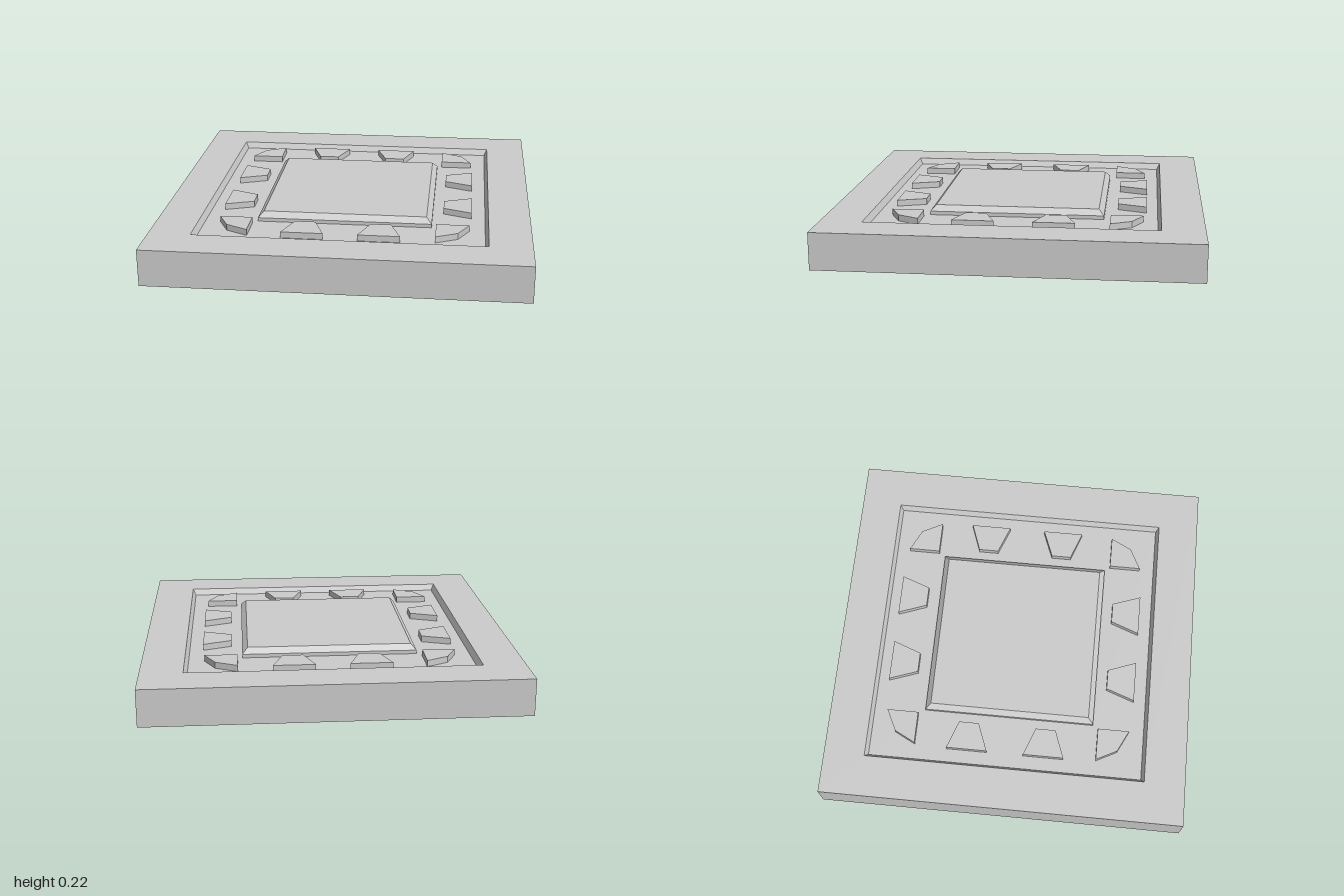
import * as THREE from 'three';

const material = new THREE.MeshStandardMaterial({
  color: 0xcccccc, flatShading: true, side: THREE.DoubleSide,
});

// Prism without a bottom, from a convex outline of [x, z] corners
function openPrism(outline, bottom, top) {
  const area = outline.reduce((sum, [x, z], i) => {
    const [nx, nz] = outline[(i + 1) % outline.length];
    return sum + x * nz - nx * z;
  }, 0);
  const pts = area > 0 ? [...outline].reverse() : outline;
  const pos = [];
  pts.forEach(([ax, az], i) => {
    const [bx, bz] = pts[(i + 1) % pts.length];
    pos.push(ax, bottom, az, bx, bottom, bz, bx, top, bz);
    pos.push(ax, bottom, az, bx, top, bz, ax, top, az);
    if (i > 0 && i < pts.length - 1) {
      pos.push(pts[0][0], top, pts[0][1], ax, top, az, bx, top, bz);
    }
  });
  const geometry = new THREE.BufferGeometry();
  geometry.setAttribute('position', new THREE.Float32BufferAttribute(pos, 3));
  geometry.computeVertexNormals();
  return geometry;
}

// Square shell, open below: [half width, height] from the outer foot to the centre
function squareShell(profile) {
  const points = profile.map(([half, y]) => new THREE.Vector2(half * Math.SQRT2, y));
  const geometry = new THREE.LatheGeometry(points, 4, Math.PI / 4).toNonIndexed();
  geometry.computeVertexNormals();
  return geometry;
}

export function createModel() {
  const model = new THREE.Group();
  model.name = 'squareTile';

  const add = (name, geometry) => {
    const mesh = new THREE.Mesh(geometry, material);
    mesh.name = name;
    model.add(mesh);
  };

  // Outer walls, border, sunken channel and bevelled centre panel
  add('tileShell', squareShell([
    [1, 0], [1, 0.2], [0.775, 0.2], [0.758, 0.165],
    [0.472, 0.165], [0.472, 0.185], [0.443, 0.215], [0, 0.215],
  ]));

  // Raised studs standing in the channel and reaching through its floor
  const bottom = 0.125, top = 0.199, shift = -0.004;
  const frontStud = [[0.09, 0.694], [0.315, 0.694], [0.259, 0.537], [0.148, 0.537]];
  const sideStud = [[0.684, 0.101], [0.684, 0.326], [0.53, 0.27], [0.53, 0.16]];
  const cornerStud = [[0.497, 0.505], [0.674, 0.505], [0.615, 0.62], [0.497, 0.679]];

  for (const sx of [-1, 1]) {
    for (const sz of [-1, 1]) {
      const mirror = (outline) => outline.map(([x, z]) => [x * sx, z * sz + shift]);
      add(sz > 0 ? 'frontStud' : 'backStud', openPrism(mirror(frontStud), bottom, top));
      add(sx > 0 ? 'leftStud' : 'rightStud', openPrism(mirror(sideStud), bottom, top));
      add('cornerStud', openPrism(mirror(cornerStud), bottom, top));
    }
  }
  return model;
}
